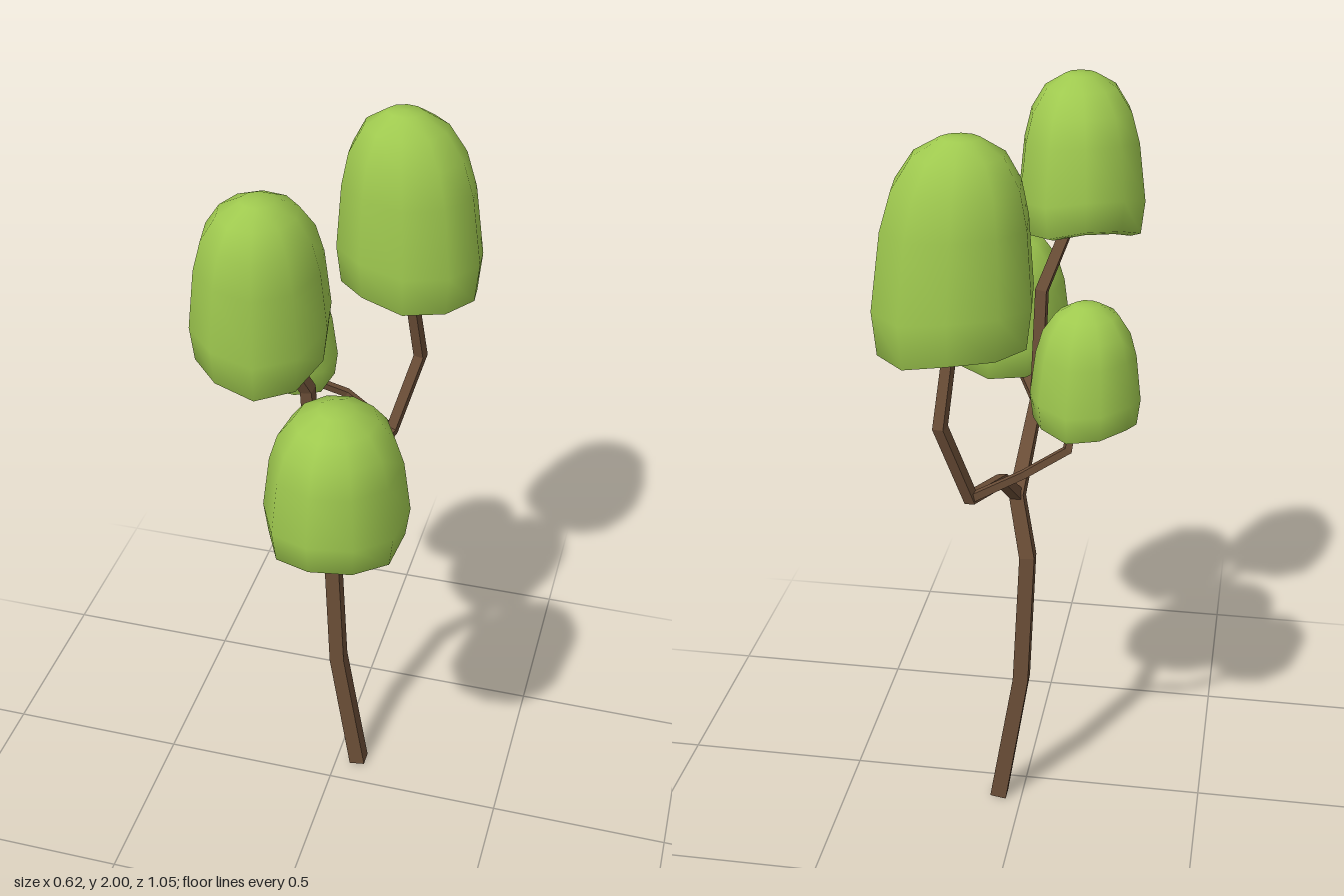
import * as THREE from 'three';
import { mergeVertices } from 'three/addons/utils/BufferGeometryUtils.js';

const V = (p) => new THREE.Vector3(p[0], p[1], p[2]);

// Square beam along a path of [x, y, z, halfWidth], mitred at every bend
function beamGeometry(path) {
  const pts = path.map(V);
  const dirs = pts.slice(1).map((p, i) => p.clone().sub(pts[i]).normalize());
  const d0 = dirs[0];
  const ref = Math.abs(d0.x) < 0.8 ? new THREE.Vector3(1, 0, 0) : new THREE.Vector3(0, 0, 1);
  const u = ref.addScaledVector(d0, -ref.dot(d0)).normalize();
  const v = d0.clone().cross(u);
  let offsets = [[1, -1], [1, 1], [-1, 1], [-1, -1]].map(([a, b]) =>
    u.clone().multiplyScalar(a).addScaledVector(v, b));
  const rings = pts.map((p, i) => {
    if (i > 0) {
      // slide the ring along the segment onto the bisecting plane
      const d = dirs[i - 1];
      const n = d.clone().add(dirs[i] || d).normalize();
      offsets = offsets.map((o) => o.clone().addScaledVector(d, -o.dot(n) / d.dot(n)));
    }
    return offsets.map((o) => p.clone().addScaledVector(o, path[i][3]));
  });
  const out = [];
  const quad = (a, b, c, d) => [a, b, c, a, c, d].forEach((q) => out.push(q.x, q.y, q.z));
  for (let i = 0; i + 1 < rings.length; i++) {
    for (let k = 0; k < 4; k++) {
      const m = (k + 1) % 4;
      quad(rings[i][k], rings[i][m], rings[i + 1][m], rings[i + 1][k]);
    }
  }
  const s = rings[0], e = rings[rings.length - 1];
  quad(s[3], s[2], s[1], s[0]);
  quad(e[0], e[1], e[2], e[3]);
  const g = new THREE.BufferGeometry();
  g.setAttribute('position', new THREE.Float32BufferAttribute(out, 3));
  g.computeVertexNormals();
  return g;
}

// Bullet-shaped leaf clump with a hollow underside: [radius, height], bottom to top
const PROFILE = [[0, 0.16], [0.45, 0.13], [0.78, 0.01], [0.94, 0.03], [1, 0.24],
  [0.9, 0.6], [0.78, 0.78], [0.56, 0.92], [0.24, 0.995], [0, 1]];

function clumpGeometry({ x, z, y0, y1, rx, rz, topX = 0, topZ = 0, tiltX = 0, tiltZ = 0, turn = 0 }) {
  let g = new THREE.LatheGeometry(PROFILE.map(([r, h]) => new THREE.Vector2(r, h)), 10, turn);
  g.deleteAttribute('uv');
  g.deleteAttribute('normal');
  const pos = g.attributes.position;
  for (let i = 0; i < pos.count; i++) {
    const px = pos.getX(i), h = pos.getY(i), pz = pos.getZ(i);
    // lean the crown and tilt the rim
    const wobble = 0.012 * Math.sin(3 * Math.atan2(pz, px) + turn * 7) * Math.hypot(px, pz);
    pos.setXYZ(i,
      x + px * rx + topX * h * h,
      y0 + h * (y1 - y0) + (1 - h) * (px * tiltX + pz * tiltZ + wobble),
      z + pz * rz + topZ * h * h);
  }
  g = mergeVertices(g, 1e-4);
  g.computeVertexNormals();
  return g;
}

export function createModel() {
  const bark = new THREE.MeshStandardMaterial({ color: 0x6b4e37 });
  bark.name = 'bark brown';
  const leaf = new THREE.MeshStandardMaterial({ color: 0x9fc94f });
  leaf.name = 'leaf green';
  const tree = new THREE.Group();
  tree.name = 'tree';
  const add = (name, geometry, material) => {
    const mesh = new THREE.Mesh(geometry, material);
    mesh.name = name;
    tree.add(mesh);
  };

  // Trunk and limbs
  const limbs = {
    trunk: [[0.065, 0, -0.09, 0.0225], [0, 0.4, -0.09, 0.021], [-0.018, 0.785, -0.09, 0.02],
      [0.015, 0.95, -0.057, 0.019], [-0.012, 1.155, 0.108, 0.016],
      [-0.02, 1.455, 0.135, 0.015], [-0.09, 1.64, 0.21, 0.014]],
    backLimb: [[0.013, 0.945, -0.055, 0.015], [0.04, 1.035, -0.145, 0.014], [0.09, 1.065, -0.315, 0.014],
      [0.15, 1.28, -0.375, 0.014], [0.12, 1.55, -0.325, 0.013]],
    frontTwig: [[-0.012, 1.15, 0.105, 0.012], [0.045, 1.175, 0.235, 0.011], [0.1, 1.225, 0.31, 0.011]],
    sideTwig: [[0.09, 1.065, -0.315, 0.01], [-0.045, 1.15, -0.335, 0.009],
      [-0.148, 1.205, -0.295, 0.009], [-0.16, 1.3, -0.25, 0.008]],
  };
  for (const [name, path] of Object.entries(limbs)) add(name, beamGeometry(path), bark);

  // Leaf clumps
  const clumps = {
    frontUpperLeaves: { x: -0.112, z: 0.205, y0: 1.59, y1: 2, rx: 0.168, rz: 0.182,
      topX: 0.01, topZ: 0.035, tiltX: -0.01, tiltZ: -0.04, turn: 0.2 },
    frontLowerLeaves: { x: 0.108, z: 0.335, y0: 1.18, y1: 1.552, rx: 0.176, rz: 0.19,
      topZ: 0.01, turn: 0.5 },
    backUpperLeaves: { x: 0.118, z: -0.353, y0: 1.485, y1: 1.985, rx: 0.196, rz: 0.174,
      topX: -0.025, tiltX: -0.015, tiltZ: 0.015, turn: 0.1 },
    backLowerLeaves: { x: -0.182, z: -0.235, y0: 1.25, y1: 1.557, rx: 0.135, rz: 0.131,
      topZ: 0.015, turn: 0.4 },
  };
  for (const [name, spec] of Object.entries(clumps)) add(name, clumpGeometry(spec), leaf);
  return tree;
}
